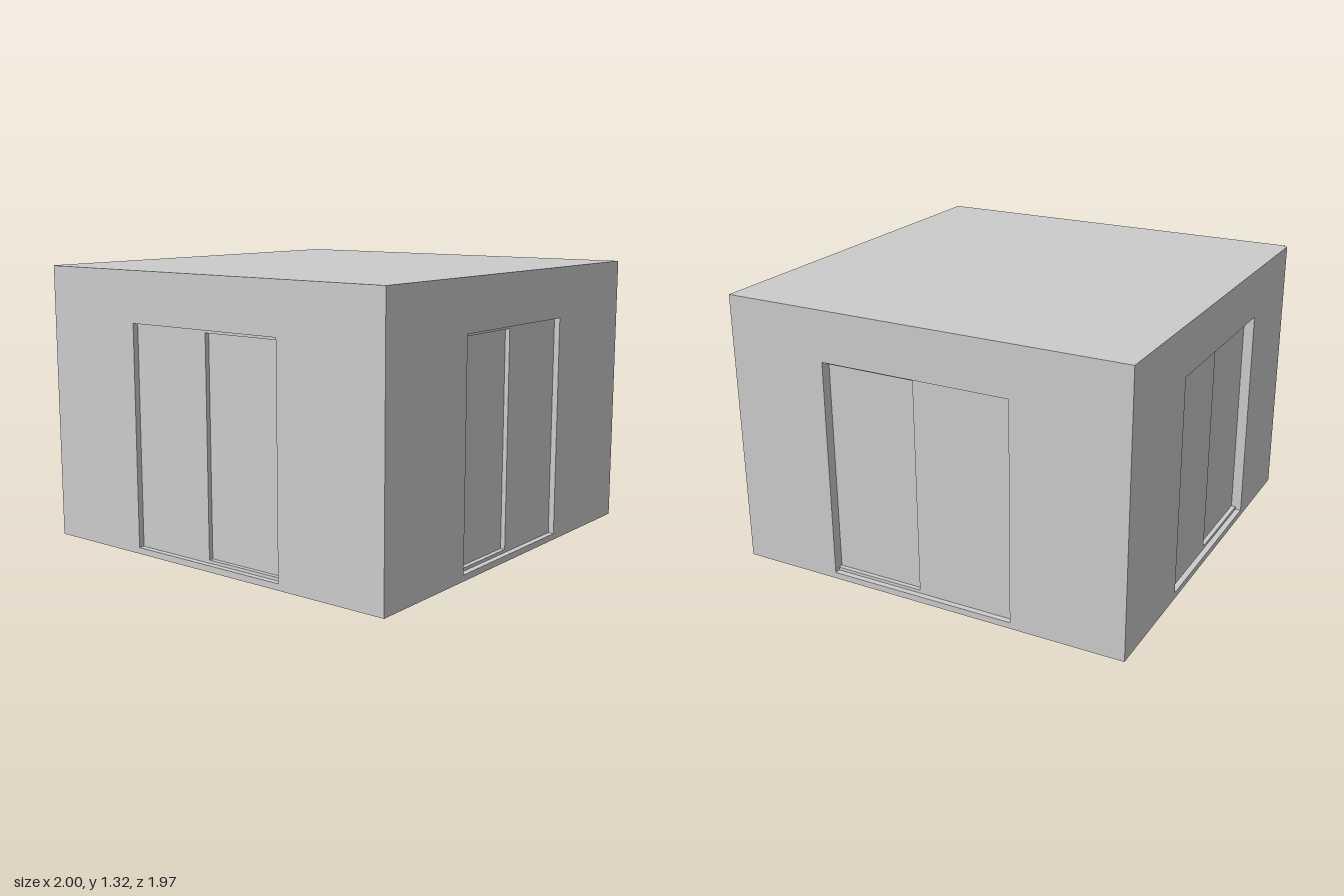
import * as THREE from 'three';

const H = 1.32, SLAB = 0.03, X = 1, Z = 0.985, THICK = 0.06, NOTCH = 0.018;
const HEAD = 1.08, FRONT = 0.028, REAR = 0.05, TRIM = 0.015;
const material = new THREE.MeshStandardMaterial({ color: 0xcccccc, flatShading: true });

function box(name, x0, x1, y0, y1, z0, z1) {
  const mesh = new THREE.Mesh(new THREE.BoxGeometry(x1 - x0, y1 - y0, z1 - z0), material);
  mesh.position.set((x0 + x1) / 2, (y0 + y1) / 2, (z0 + z1) / 2);
  mesh.name = name;
  return mesh;
}

// Flat plate over the whole plan, with the small notch at the back corner
function slab(name, y) {
  const plan = new THREE.Shape([
    [-X, -Z], [X, -Z], [X, Z], [-X + NOTCH, Z], [-X + NOTCH, Z - NOTCH], [-X, Z - NOTCH],
  ].map(([a, b]) => new THREE.Vector2(a, b)));
  const geo = new THREE.ExtrudeGeometry(plan, { depth: SLAB, bevelEnabled: false });
  geo.rotateX(-Math.PI / 2);
  const mesh = new THREE.Mesh(geo, material);
  mesh.position.y = y;
  mesh.name = name;
  return mesh;
}

// Wall with a door opening; local x runs to the right seen from outside, outer face at z = 0
function wallWithDoor({ name, u0, u1, a, b, split, frontOnRight }) {
  const group = new THREE.Group();
  group.name = name;
  const top = H - SLAB;
  const outline = new THREE.Shape([
    [u0, SLAB], [a, SLAB], [a, HEAD], [b, HEAD], [b, SLAB], [u1, SLAB], [u1, top], [u0, top],
  ].map(([x, y]) => new THREE.Vector2(x, y)));
  const wall = new THREE.Mesh(
    new THREE.ExtrudeGeometry(outline, { depth: THICK, bevelEnabled: false }), material);
  wall.position.z = -THICK;
  wall.name = 'wall';
  group.add(wall);

  // Sliding panels on two tracks, one set behind the other
  const [f0, f1] = frontOnRight ? [split, b] : [a, split];
  const [r0, r1] = frontOnRight ? [a, split] : [split, b];
  const low = SLAB + TRIM, high = HEAD - TRIM;
  group.add(
    box('frontDoorPanel', f0, f1, SLAB, HEAD, -THICK, -FRONT),
    box('rearDoorPanel', r0, r1, low, high, -THICK, -REAR),
    box('doorSill', r0, r1, SLAB, low, -THICK, -FRONT),
    box('doorHead', r0, r1, high, HEAD, -THICK, -FRONT),
  );
  return group;
}

export function createModel() {
  const model = new THREE.Group();
  model.name = 'building';
  model.add(slab('floor', 0), slab('roof', H - SLAB));

  const inner = Z - THICK;
  const walls = [
    { name: 'frontWall', u0: -X, u1: X, a: -0.415, b: 0.395, split: -0.02, frontOnRight: true,
      pos: [0, 0, Z], turn: 0 },
    { name: 'rightWall', u0: -inner, u1: inner, a: -0.49, b: 0.44, split: -0.04, frontOnRight: true,
      pos: [X, 0, 0], turn: Math.PI / 2 },
    { name: 'backWall', u0: -X, u1: X - NOTCH, a: -0.43, b: 0.5, split: 0.02, frontOnRight: false,
      pos: [0, 0, -Z], turn: Math.PI },
    { name: 'leftWall', u0: -Z + NOTCH, u1: inner, a: -0.425, b: 0.43, split: 0, frontOnRight: false,
      pos: [-X, 0, 0], turn: -Math.PI / 2 },
  ];
  for (const spec of walls) {
    const wall = wallWithDoor(spec);
    wall.position.set(...spec.pos);
    wall.rotation.y = spec.turn;
    model.add(wall);
  }
  return model;
}
